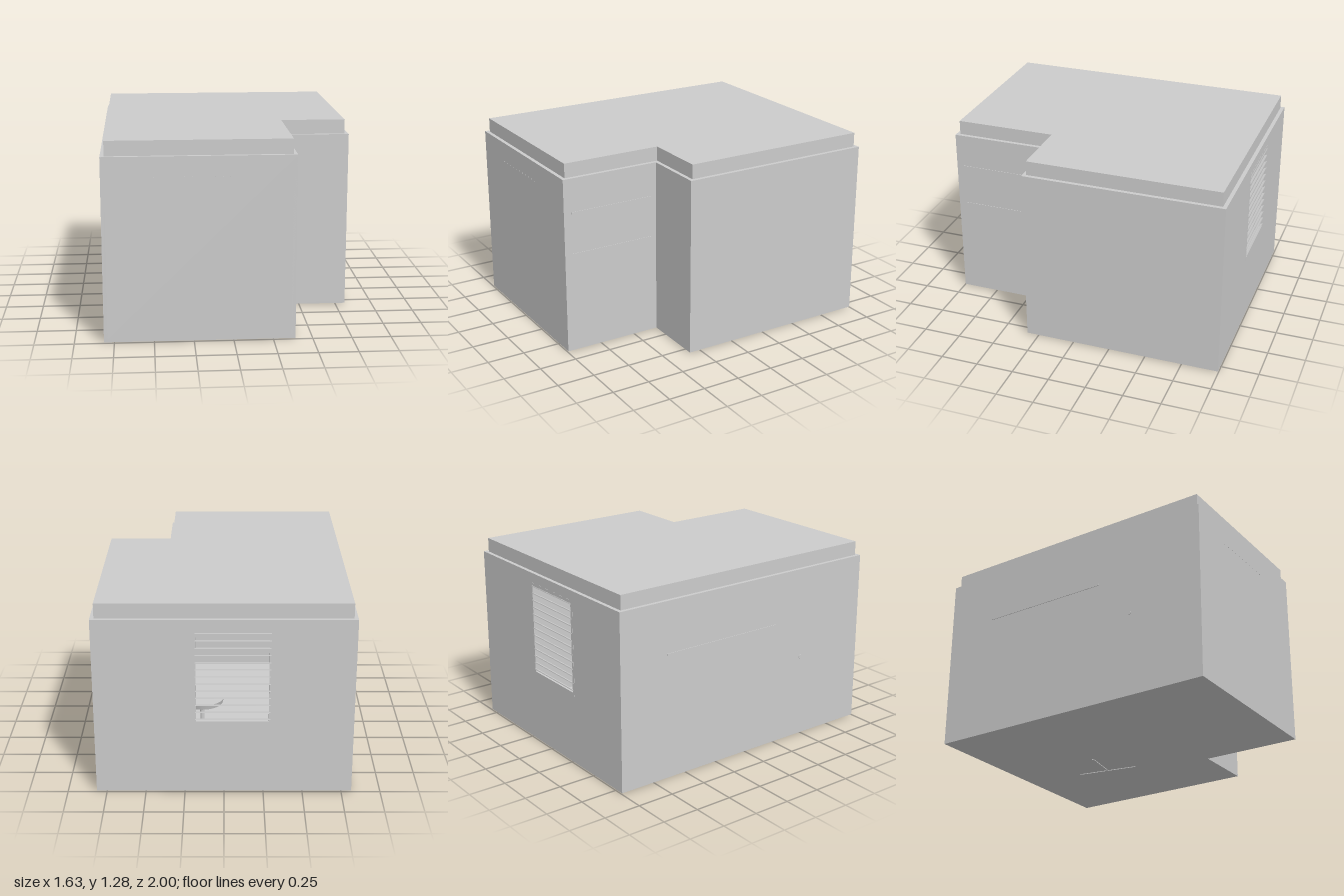
import * as THREE from 'three';

const material = new THREE.MeshStandardMaterial({ color: 0xcccccc, side: THREE.DoubleSide });
const X = 0.815, Z = 0.996, NX = 0.39, NZ = 0.33, FLOOR = 0.005, TOP = 1.185, WALL = 0.025;

function add(parent, name, geometry, x = 0, y = 0, z = 0) {
  const mesh = new THREE.Mesh(geometry, material);
  mesh.name = name;
  mesh.position.set(x, y, z);
  parent.add(mesh);
  return mesh;
}

// box given by its minimum and maximum corners
function block(parent, name, [x0, y0, z0], [x1, y1, z1]) {
  return add(parent, name, new THREE.BoxGeometry(x1 - x0, y1 - y0, z1 - z0),
    (x0 + x1) / 2, (y0 + y1) / 2, (z0 + z1) / 2);
}

// L-shaped slab between two heights, inset from the outer wall line
function slab(parent, name, inset, y0, y1) {
  const x = X - inset, z = Z - inset, nx = NX - inset, nz = NZ - inset;
  const outline = [[-x, z], [nx, z], [nx, nz], [x, nz], [x, -z], [-x, -z]];
  const shape = new THREE.Shape(outline.map(([a, b]) => new THREE.Vector2(a, -b)));
  const geometry = new THREE.ExtrudeGeometry(shape, { depth: y1 - y0, bevelEnabled: false });
  geometry.rotateX(-Math.PI / 2);
  return add(parent, name, geometry, 0, y0, 0);
}

// rectangular panel in the xy plane with a rectangular opening
function framePanel(x0, y0, x1, y1, hx0, hy0, hx1, hy1, depth) {
  const rect = (a, b, c, d) => [[a, b], [c, b], [c, d], [a, d]].map(p => new THREE.Vector2(...p));
  const shape = new THREE.Shape(rect(x0, y0, x1, y1));
  shape.holes.push(new THREE.Path(rect(hx0, hy0, hx1, hy1)));
  return new THREE.ExtrudeGeometry(shape, { depth, bevelEnabled: false });
}

export function createModel() {
  const room = new THREE.Group();
  room.name = 'room';

  // shell
  slab(room, 'floor', 0, FLOOR, 0.02);
  slab(room, 'ceiling', 0, TOP - 0.012, TOP);
  slab(room, 'roofCap', 0.025, TOP, 1.28);
  block(room, 'wallRight', [-X, FLOOR, -Z], [-X + WALL, TOP, Z]);
  block(room, 'wallFront', [-X, FLOOR, Z - WALL], [NX, TOP, Z]);
  block(room, 'wallNotchSide', [NX - WALL, FLOOR, NZ - WALL], [NX, TOP, Z]);
  block(room, 'wallNotchFront', [NX - WALL, FLOOR, NZ - WALL], [X, TOP, NZ]);
  block(room, 'wallLeft', [X - WALL, FLOOR, -Z], [X, TOP, NZ]);
  add(room, 'wallBack', framePanel(-X, FLOOR, X, TOP, -0.295, 0.48, 0.19, 1.115, WALL), 0, 0, -Z);

  // window frame and blind slats
  const windowGroup = new THREE.Group();
  windowGroup.name = 'window';
  room.add(windowGroup);
  add(windowGroup, 'windowFrame', framePanel(-0.3, 0.475, 0.195, 1.12, -0.28, 0.5, 0.175, 1.1, 0.025), 0, 0, -Z - 0.001);
  for (let i = 0; i < 13; i++) {
    const slat = add(windowGroup, 'blindSlat', new THREE.BoxGeometry(0.47, 0.006, 0.014), -0.055, 0.515 + i * 0.0483, -0.993);
    slat.rotation.x = 0.25;
  }

  // shelves fixed through the walls
  for (const y of [0.67, 0.95]) block(room, 'notchShelf', [0.22, y, 0.37], [NX + 0.003, y + 0.012, 0.945]);
  block(room, 'wallShelf', [-X - 0.004, 0.832, -0.645], [-0.66, 0.846, 0.245]);

  // door knob and its plate on the right wall
  const knob = add(room, 'doorKnob', new THREE.CylinderGeometry(0.017, 0.017, 0.05, 20), -X + 0.021, 0.568, 0.475);
  knob.rotation.z = Math.PI / 2;

  // row of pegs in the front wall
  for (let i = 0; i < 11; i++) {
    const peg = add(room, 'peg', new THREE.CylinderGeometry(0.003, 0.003, 0.06, 8), -0.49 + i * 0.047, 1.055, 0.97);
    peg.rotation.x = Math.PI / 2;
  }

  // chair with a T-shaped foot
  const chair = new THREE.Group();
  chair.name = 'chair';
  chair.position.set(0.207, 0, -0.38);
  chair.rotation.y = 0.18;
  room.add(chair);
  block(chair, 'footBar', [-0.006, 0, -0.21], [0.006, 0.022, 0.21]);
  block(chair, 'footStem', [-0.25, 0, -0.006], [0, 0.022, 0.006]);
  add(chair, 'post', new THREE.CylinderGeometry(0.015, 0.015, 0.34, 16), -0.06, 0.18, 0);
  add(chair, 'seat', new THREE.CylinderGeometry(0.15, 0.14, 0.035, 32), -0.06, 0.36, 0);
  add(chair, 'backrest', new THREE.CylinderGeometry(0.155, 0.15, 0.2, 24, 1, true, Math.PI * 0.2, Math.PI * 0.6), -0.06, 0.5, 0);

  return room;
}
